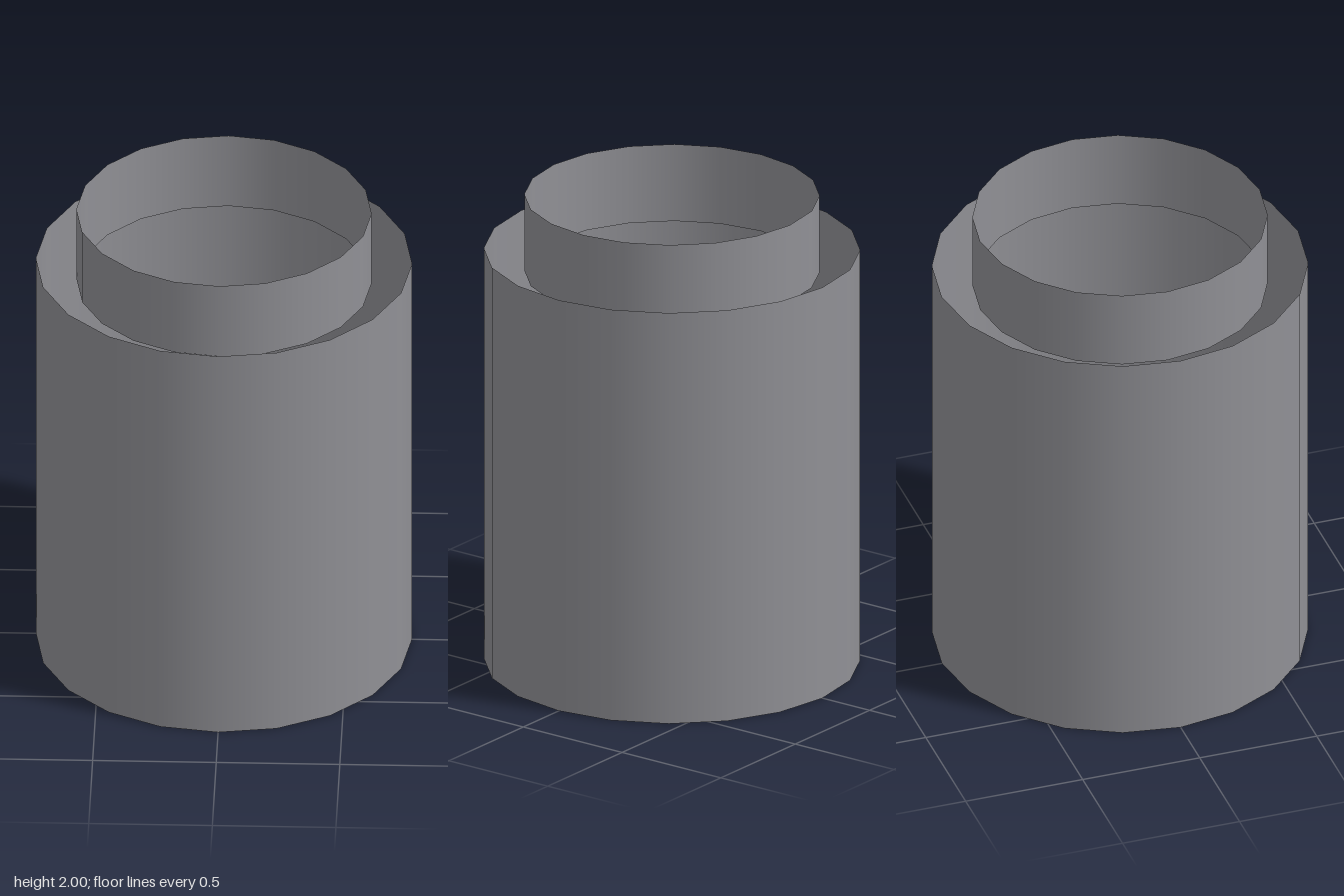
import * as THREE from 'three';

const SIDES = 20;

// Thin, open-ended tube standing between two heights
function tube(name, radius, bottom, top, material) {
  const geometry = new THREE.CylinderGeometry(radius, radius, top - bottom, SIDES, 1, true);
  geometry.translate(0, (top + bottom) / 2, 0);
  const mesh = new THREE.Mesh(geometry, material);
  mesh.name = name;
  return mesh;
}

export function createModel() {
  const material = new THREE.MeshStandardMaterial({ color: 0x909095, side: THREE.DoubleSide });
  const group = new THREE.Group();
  group.name = 'nestedTubes';

  // Wide body sleeve
  group.add(tube('outerSleeve', 0.761, 0, 1.767, material));

  // Short narrow collar, its lower end sunk just inside the sleeve
  group.add(tube('innerCollar', 0.597, 1.67, 2, material));

  return group;
}
